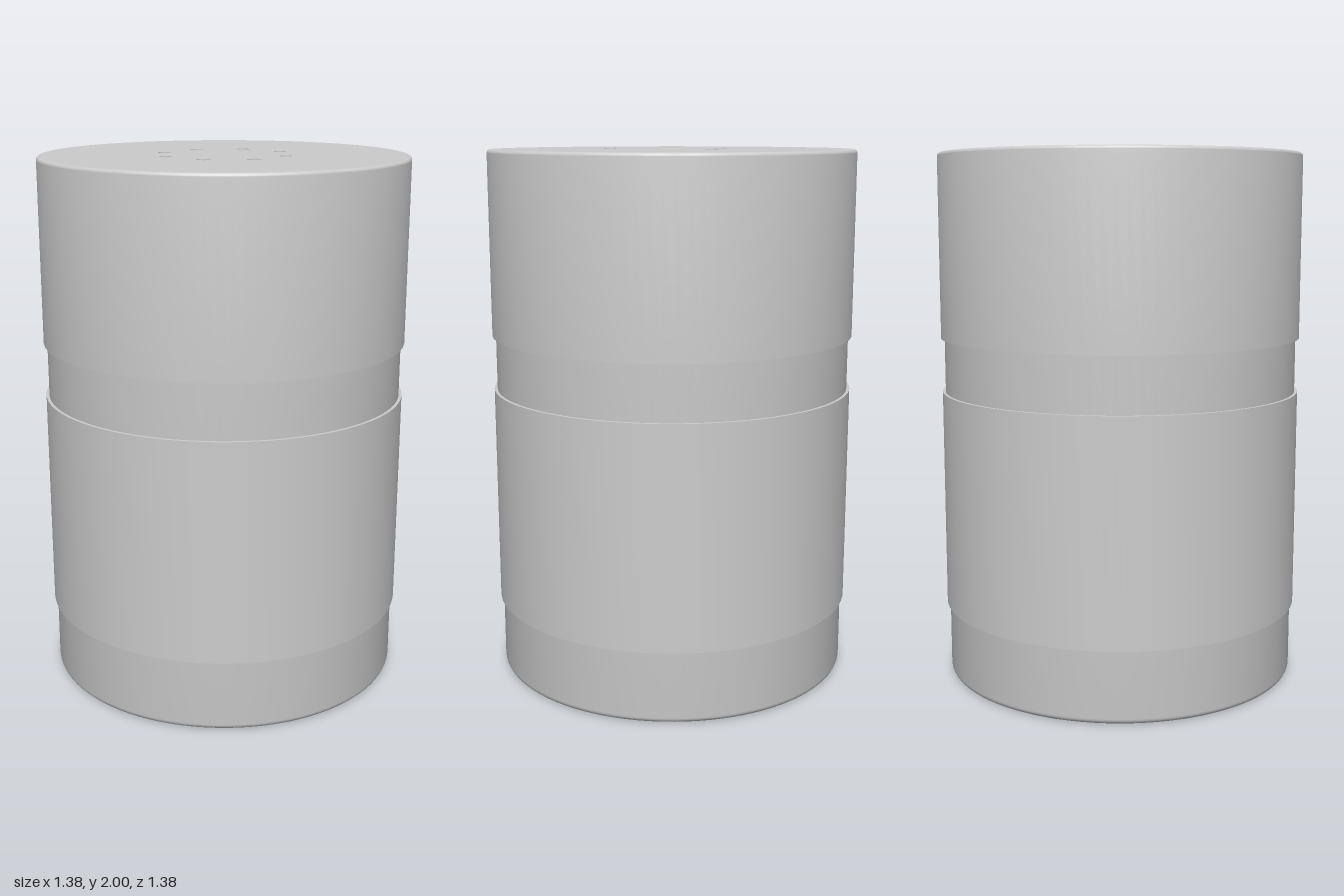
import * as THREE from 'three';
import { toCreasedNormals } from 'three/addons/utils/BufferGeometryUtils.js';

const grey = new THREE.MeshStandardMaterial({ color: 0xcccccc });

function part(name, geometry) {
  const mesh = new THREE.Mesh(geometry, grey);
  mesh.name = name;
  return mesh;
}

// Turned solid from a bottom-to-top profile of [radius, y]
function turned(name, profile) {
  const points = profile.map(([r, y]) => new THREE.Vector2(r, y));
  return part(name, toCreasedNormals(new THREE.LatheGeometry(points, 96), 0.5));
}

// Quarter-round corner centred on (r, y), from angle a to a + 90 degrees
function corner(r, y, radius, a) {
  return Array.from({ length: 6 }, (_, i) => {
    const t = a + (i / 5) * Math.PI / 2;
    return [r + radius * Math.cos(t), y + radius * Math.sin(t)];
  });
}

export function createModel() {
  const group = new THREE.Group();
  group.name = 'shaker';

  // Container with a rounded foot; its top closes the sprinkle holes
  group.add(turned('body', [
    [0, 0], ...corner(0.652, 0.022, 0.022, -Math.PI / 2), [0.675, 1.96], [0, 1.96],
  ]));

  // Raised sleeve around the container
  group.add(turned('sleeve', [
    [0.67, 0.275], [0.686, 0.275], [0.686, 1.105], [0.67, 1.105],
  ]));

  // Lid wall with a softened upper edge
  group.add(turned('lidWall', [
    [0.67, 1.31], [0.688, 1.31], ...corner(0.676, 1.988, 0.012, 0),
  ]));

  // Lid plate with a ring of eight holes
  const plate = new THREE.Shape().absarc(0, 0, 0.676, 0, Math.PI * 2);
  for (let i = 0; i < 8; i++) {
    const a = THREE.MathUtils.degToRad(29 + i * 45);
    const hole = new THREE.Path();
    hole.absellipse(0.236 * Math.cos(a), 0.236 * Math.sin(a), 0.026, 0.023, 0, Math.PI * 2, true, a + Math.PI / 2);
    plate.holes.push(hole);
  }
  const plateGeometry = new THREE.ExtrudeGeometry(plate, { depth: 0.04, bevelEnabled: false, curveSegments: 48 });
  plateGeometry.rotateX(-Math.PI / 2).translate(0, 1.96, 0);
  group.add(part('lidTop', plateGeometry));

  return group;
}
